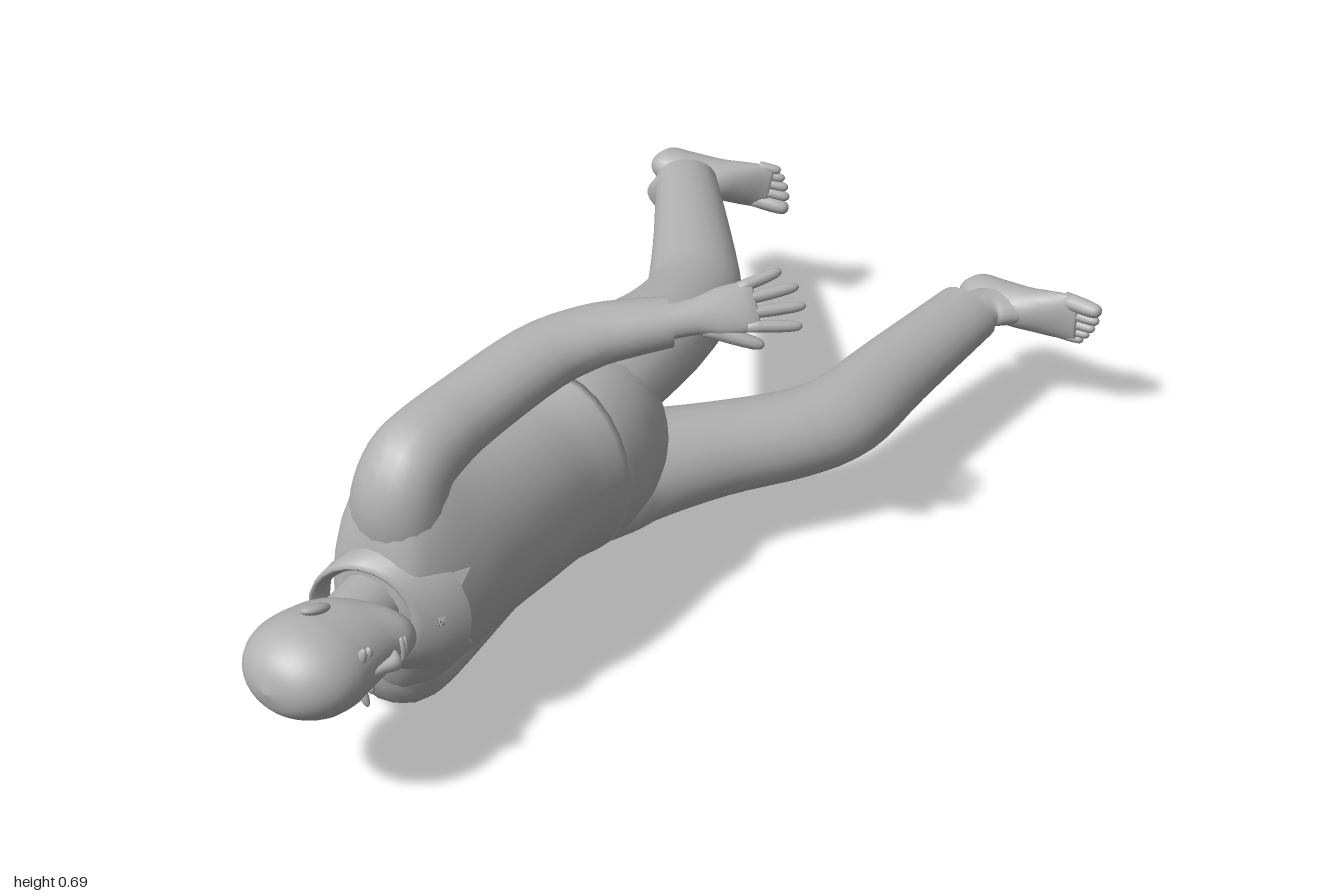
import * as THREE from 'three';

const grey = new THREE.MeshStandardMaterial({ color: 0xb2b2b2, side: THREE.DoubleSide });
grey.name = 'grey';
const V = (x, y, z) => new THREE.Vector3(x, y, z);

// Smooth value between control sections
function blend(a, b, c, d, t) {
  return b + 0.5 * t * (c - a + t * (2 * a - 5 * b + 4 * c - d + t * (3 * (b - c) + d - a)));
}

// Skin over oval sections [x, y, z, radius along up, radius across]
function loft(name, secs, { up = V(0, 1, 0), axis = null, seg = 20, sub = 4, open = false } = {}) {
  const n = secs.length, rows = [];
  const at = i => secs[Math.min(n - 1, Math.max(0, i))];
  for (let i = 0; i < n - 1; i++)
    for (let s = 0; s < sub; s++)
      rows.push(at(i).map((_, k) => blend(at(i - 1)[k], at(i)[k], at(i + 1)[k], at(i + 2)[k], s / sub)));
  rows.push(secs[n - 1]);
  const pos = [], idx = [], m = rows.length;
  const centre = i => V(...rows[Math.min(m - 1, Math.max(0, i))].slice(0, 3));
  rows.forEach((r, i) => {
    const t = (axis ? axis.clone() : centre(i + 1).sub(centre(i - 1))).normalize();
    const v = up.clone().addScaledVector(t, -up.dot(t)).normalize();
    const u = t.clone().cross(v);
    for (let j = 0; j < seg; j++) {
      const a = j / seg * Math.PI * 2;
      const p = centre(i).addScaledVector(v, Math.max(0.001, r[3]) * Math.cos(a))
        .addScaledVector(u, Math.max(0.001, r[4]) * Math.sin(a));
      pos.push(p.x, p.y, p.z);
      if (i < m - 1) {
        const k = i * seg + j, l = i * seg + (j + 1) % seg;
        idx.push(k, l, k + seg, l, l + seg, k + seg);
      }
    }
  });
  if (!open) {
    const c = pos.length / 3, last = (m - 1) * seg;
    pos.push(...centre(0).toArray(), ...centre(m - 1).toArray());
    for (let j = 0; j < seg; j++) {
      const k = (j + 1) % seg;
      idx.push(c, k, j, c + 1, last + j, last + k);
    }
  }
  const g = new THREE.BufferGeometry();
  g.setAttribute('position', new THREE.Float32BufferAttribute(pos, 3));
  g.setIndex(idx);
  g.computeVertexNormals();
  const mesh = new THREE.Mesh(g, grey);
  mesh.name = name;
  return mesh;
}

function blob(name, p, s, rot = [0, 0, 0]) {
  const mesh = new THREE.Mesh(new THREE.SphereGeometry(1, 14, 10), grey);
  mesh.name = name;
  mesh.position.set(...p);
  mesh.scale.set(...s);
  mesh.rotation.set(...rot);
  return mesh;
}

// Stands an object at a point with its local x and z along given directions
function place(obj, o, xDir, zDir) {
  const x = V(...xDir).normalize();
  const y = V(...zDir).cross(x).normalize();
  obj.applyMatrix4(new THREE.Matrix4().makeBasis(x, y, x.clone().cross(y)).setPosition(...o));
  return obj;
}

function digit(name, a, b, r) {
  const p = t => a.map((v, i) => v + (b[i] - v) * t);
  return loft(name, [[...p(0), r, r], [...p(0.5), r, r], [...p(0.85), r * 0.85, r * 0.85],
    [...p(0.97), r * 0.5, r * 0.5], [...p(1), 0.001, 0.001]], { seg: 10, sub: 2 });
}

// Hand along local x, thumb on +z
function hand(name) {
  const g = new THREE.Group();
  g.name = name;
  g.add(loft('palm', [[-0.05, 0, 0, 0.027, 0.034], [0.02, 0, 0, 0.024, 0.034], [0.07, 0, 0, 0.021, 0.045],
    [0.115, 0, 0, 0.016, 0.047], [0.135, 0, 0, 0.009, 0.042]]));
  [[0.036, 0.085], [0.012, 0.1], [-0.013, 0.095], [-0.036, 0.07]].forEach(([z, l]) =>
    g.add(digit('finger', [0.11, 0, z], [0.125 + l, -0.006, z * 1.5], 0.0115)));
  g.add(digit('thumb', [0.03, -0.004, 0.022], [0.135, -0.012, 0.075], 0.014));
  return g;
}

// Foot along local x, sole at y = 0, big toe on the given side
function foot(name, side) {
  const g = new THREE.Group();
  g.name = name;
  g.add(loft('sole', [[0, 0.04, 0, 0.022, 0.018], [0.015, 0.046, 0, 0.043, 0.034], [0.07, 0.053, 0, 0.052, 0.04],
    [0.13, 0.048, 0, 0.047, 0.044], [0.18, 0.034, 0, 0.032, 0.05], [0.22, 0.022, 0, 0.02, 0.053],
    [0.248, 0.016, 0, 0.012, 0.05]]));
  g.add(loft('ankle', [[0.1, 0.04, 0, 0.075, 0.036], [0.085, 0.075, 0, 0.062, 0.036], [0.068, 0.11, 0, 0.05, 0.037],
    [0.062, 0.18, 0, 0.05, 0.04]], { up: V(1, 0, 0) }));
  [[0.036, 0.3, 0.018], [0.01, 0.295, 0.013], [-0.011, 0.287, 0.012], [-0.03, 0.275, 0.011], [-0.046, 0.262, 0.011]]
    .forEach(([z, x, r]) => g.add(digit('toe', [0.215, 0.018, z * side], [x, r, z * side], r)));
  return g;
}

function head() {
  const g = new THREE.Group(), cy = 0.305;
  g.name = 'head';
  const skull = [[0.085, 0.722, 0.015, 0.012], [0.072, 0.732, 0.037, 0.035], [0.05, 0.75, 0.054, 0.062],
    [0.024, 0.78, 0.067, 0.086], [0.012, 0.81, 0.076, 0.1], [0.008, 0.85, 0.082, 0.109], [0.007, 0.89, 0.086, 0.114],
    [0.006, 0.93, 0.082, 0.107], [0.005, 0.965, 0.065, 0.085], [0.005, 0.988, 0.04, 0.052], [0.005, 1, 0.003, 0.003]];
  g.add(loft('skull', skull.map(([x, z, a, b]) => [x, cy, z, a, b]), { axis: V(0, 0, 1), seg: 32 }));
  // Face
  g.add(loft('nose', [[0.108, cy, 0.862, 0.008, 0.006], [0.117, cy, 0.83, 0.01, 0.009],
    [0.122, cy, 0.805, 0.016, 0.013], [0.113, cy, 0.793, 0.014, 0.01]], { axis: V(0, 0, 1), seg: 12 }));
  g.add(blob('upperLip', [0.108, cy, 0.772], [0.008, 0.026, 0.005]));
  g.add(blob('lowerLip', [0.106, cy, 0.762], [0.008, 0.022, 0.006]));
  for (const s of [-1, 1]) {
    g.add(blob('eye', [0.1, cy + s * 0.034, 0.848], [0.009, 0.015, 0.007], [0, 0, -s * 0.3]));
    g.add(blob('brow', [0.102, cy + s * 0.036, 0.868], [0.01, 0.026, 0.007], [0, 0, -s * 0.35]));
    g.add(blob('ear', [0, cy + s * 0.092, 0.862], [0.02, 0.01, 0.033], [s * -0.35, 0, s * 0.3]));
  }
  return g;
}

export function createModel() {
  const model = new THREE.Group();
  model.name = 'lyingFigure';
  const zAxis = V(0, 0, 1), lean = V(0.09, 1, 0), xUp = V(1, 0, 0);

  model.add(head());
  model.add(loft('neck', [[-0.03, 0.3, 0.62, 0.065, 0.07], [-0.02, 0.302, 0.7, 0.06, 0.065],
    [0, 0.305, 0.79, 0.06, 0.068]], { axis: zAxis }));

  // Shirt
  model.add(loft('shirt', [[-0.01, 0.318, 0.17, 0.198, 0.16], [-0.01, 0.32, 0.25, 0.185, 0.152],
    [-0.01, 0.325, 0.35, 0.188, 0.156], [-0.013, 0.33, 0.45, 0.196, 0.16], [-0.018, 0.322, 0.54, 0.222, 0.155],
    [-0.022, 0.315, 0.61, 0.245, 0.135], [-0.025, 0.312, 0.66, 0.225, 0.112], [-0.025, 0.308, 0.69, 0.155, 0.09],
    [-0.025, 0.305, 0.705, 0.07, 0.06]], { up: lean, axis: zAxis, seg: 28 }));
  model.add(loft('collar', [[0.012, 0.288, 0.662, 0.138, 0.132], [0, 0.295, 0.7, 0.122, 0.122],
    [-0.015, 0.3, 0.735, 0.098, 0.098], [-0.015, 0.3, 0.715, 0.084, 0.084]],
  { axis: V(0.35, 0, 1), seg: 24, sub: 3, open: true }));
  for (const s of [-1, 1]) {
    const shape = new THREE.Shape([[0, 0.04], [s * 0.09, 0.035], [s * 0.075, -0.045]].map(p => new THREE.Vector2(...p)));
    const flap = new THREE.Mesh(new THREE.ExtrudeGeometry(shape, { depth: 0.008, bevelEnabled: false }), grey);
    flap.name = 'collarFlap';
    model.add(place(flap, [0.125, 0.3, 0.635], [-s * 0.45, 1, 0], [1, s * 0.45, 0.7]));
  }

  // Sleeves, curving out of the shoulders
  model.add(loft('leftSleeve', [[-0.02, 0.42, 0.61, 0.1, 0.08], [-0.01, 0.49, 0.622, 0.09, 0.08],
    [-0.004, 0.545, 0.6, 0.082, 0.078], [-0.002, 0.568, 0.54, 0.078, 0.07], [0, 0.58, 0.45, 0.075, 0.063],
    [0.018, 0.602, 0.27, 0.073, 0.058], [0.06, 0.616, 0.175, 0.066, 0.054], [0.11, 0.624, 0.115, 0.058, 0.05],
    [0.16, 0.63, 0.065, 0.05, 0.045]], { up: xUp, open: true }));
  model.add(loft('rightSleeve', [[-0.045, 0.22, 0.59, 0.105, 0.08], [-0.056, 0.15, 0.605, 0.1, 0.08],
    [-0.064, 0.097, 0.59, 0.095, 0.082], [-0.066, 0.08, 0.54, 0.09, 0.075], [-0.068, 0.082, 0.45, 0.082, 0.066],
    [-0.07, 0.094, 0.25, 0.062, 0.045], [-0.07, 0.092, 0.1, 0.05, 0.038], [-0.07, 0.088, -0.065, 0.04, 0.03]],
  { up: xUp, open: true }));

  // Hands
  model.add(place(hand('leftHand'), [0.177, 0.633, 0.046], [0.17, 0.025, -0.19], [0.5, -0.72, 0.45]));
  model.add(place(hand('rightHand'), [-0.07, 0.088, -0.09], [0, -0.14, -1], [0.82, 0.5, 0]));

  // Trousers
  model.add(loft('trouserSeat', [[-0.01, 0.318, 0.21, 0.175, 0.14], [-0.01, 0.317, 0.16, 0.192, 0.152],
    [-0.015, 0.315, 0.08, 0.194, 0.153], [-0.02, 0.315, 0.01, 0.175, 0.138], [-0.015, 0.315, -0.035, 0.12, 0.1],
    [-0.015, 0.315, -0.06, 0.03, 0.03]], { axis: zAxis, seg: 28 }));
  model.add(loft('leftTrouserLeg', [[-0.025, 0.405, 0.15, 0.09, 0.12], [-0.04, 0.41, 0.06, 0.1, 0.13],
    [-0.045, 0.412, -0.04, 0.1, 0.127], [-0.045, 0.41, -0.2, 0.09, 0.106], [-0.078, 0.4, -0.34, 0.076, 0.096],
    [-0.122, 0.392, -0.425, 0.071, 0.094], [-0.25, 0.385, -0.6, 0.063, 0.08], [-0.405, 0.375, -0.8, 0.05, 0.066]],
  { open: true }));
  model.add(loft('rightTrouserLeg', [[-0.02, 0.225, 0.15, 0.09, 0.12], [-0.005, 0.217, 0.06, 0.096, 0.125],
    [0.025, 0.215, -0.03, 0.095, 0.118], [0.11, 0.213, -0.17, 0.087, 0.098], [0.205, 0.213, -0.31, 0.082, 0.092],
    [0.247, 0.218, -0.42, 0.08, 0.092], [0.254, 0.23, -0.6, 0.07, 0.082], [0.27, 0.25, -0.86, 0.05, 0.07]],
  { up: V(0.3, 1, 0), open: true }));

  // Feet
  model.add(place(foot('leftFoot', 1), [-0.525, 0.372, -0.89], [0.27, -0.055, -0.095], [0, -1, 0]));
  model.add(place(foot('rightFoot', -1), [0.225, 0.25, -1], [1, 0, 0.07], [0, -1, 0]));
  return model;
}
